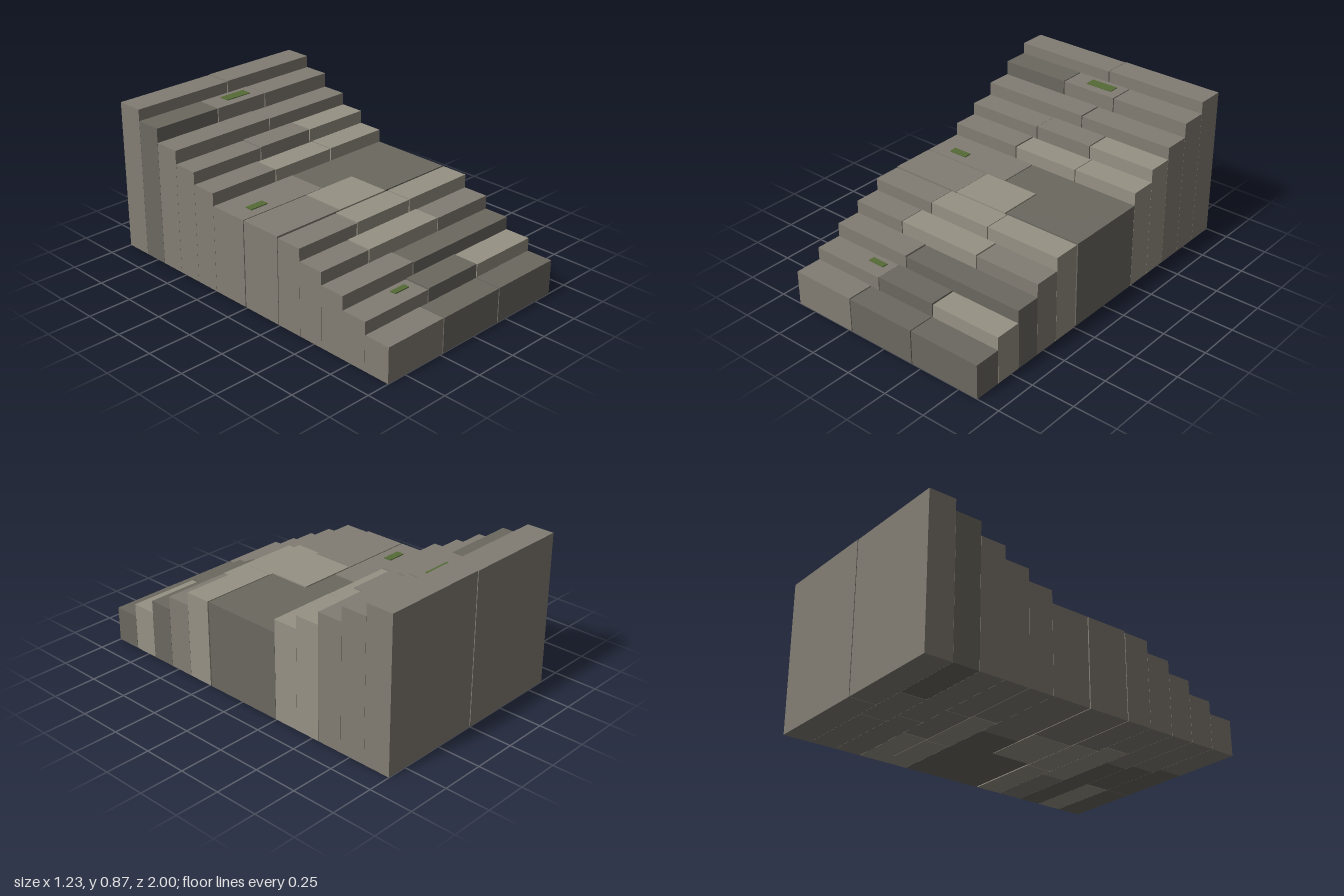
import * as THREE from 'three';

const stone = {
  mid: new THREE.MeshStandardMaterial({ color: 0x827d73 }),
  dark: new THREE.MeshStandardMaterial({ color: 0x6b6860 }),
  light: new THREE.MeshStandardMaterial({ color: 0x969184 }),
};
const mossMaterial = new THREE.MeshStandardMaterial({ color: 0x556b35 });

const HALF_WIDTH = 0.617;
const GAP = 0.006; // open joint between neighbouring blocks

function box(name, material, x0, x1, y0, y1, z0, z1) {
  const mesh = new THREE.Mesh(new THREE.BoxGeometry(x1 - x0, y1 - y0, z1 - z0), material);
  mesh.name = name;
  mesh.position.set((x0 + x1) / 2, (y0 + y1) / 2, (z0 + z1) / 2);
  return mesh;
}

// Steps from front to back: z range, joints in x, then tone and height per block
const lowerSteps = [
  [0.847, 1.0, [-0.23, 0.19], ['mid', 0.2], ['dark', 0.198], ['dark', 0.199]],
  [0.697, 0.846, [-0.174, 0.195], ['mid', 0.272], ['dark', 0.277], ['light', 0.273]],
  [0.551, 0.696, [-0.122], ['mid', 0.35], ['dark', 0.345]],
  [0.4, 0.55, [-0.288, 0.224], ['mid', 0.422], ['light', 0.424], ['mid', 0.421]],
  [0.244, 0.399, [-0.218, 0.168], ['mid', 0.492], ['light', 0.495], ['light', 0.497]],
];
const upperSteps = [
  [-0.394, -0.246, [-0.182, 0.226], ['mid', 0.572], ['light', 0.569], ['light', 0.571]],
  [-0.54, -0.395, [-0.154, 0.209], ['mid', 0.642], ['mid', 0.646], ['light', 0.645]],
  [-0.69, -0.541, [0.043], ['mid', 0.718], ['mid', 0.715]],
  [-0.842, -0.691, [-0.198, 0.144], ['dark', 0.799], ['mid', 0.799], ['mid', 0.798]],
  [-1.0, -0.843, [0], ['mid', 0.864], ['mid', 0.867]],
];

function flight(name, steps) {
  const group = new THREE.Group();
  group.name = name;
  steps.forEach(([z0, z1, joints, ...blocks], row) => {
    const step = new THREE.Group();
    step.name = `${name}Step${row + 1}`;
    blocks.forEach(([tone, height], i) => {
      const x0 = i === 0 ? -HALF_WIDTH : joints[i - 1] + GAP / 2;
      const x1 = i === joints.length ? HALF_WIDTH : joints[i] - GAP / 2;
      step.add(box('stepBlock', stone[tone], x0, x1, 0, height, z0, z1));
    });
    group.add(step);
  });
  return group;
}

export function createModel() {
  const model = new THREE.Group();
  model.name = 'stoneStairs';
  model.add(flight('lowerFlight', lowerSteps), flight('upperFlight', upperSteps));

  // Landing: interlocking slabs reaching down to the ground
  const landing = new THREE.Group();
  landing.name = 'landing';
  landing.add(
    box('landingBackLeft', stone.mid, -HALF_WIDTH, -0.066, 0, 0.5, -0.245, -0.014),
    box('landingBackRight', stone.dark, -0.062, HALF_WIDTH, 0, 0.498, -0.245, -0.012),
    box('landingFrontRight', stone.dark, 0.156, HALF_WIDTH, 0, 0.498, -0.012, 0.235),
    box('landingCentre', stone.light, -0.183, 0.152, 0, 0.502, -0.008, 0.242),
    box('landingFrontLeft', stone.mid, -HALF_WIDTH, -0.187, 0, 0.5, -0.008, 0.24),
  );
  model.add(landing);

  // Thin moss patches lying on the stone
  const moss = new THREE.Group();
  moss.name = 'moss';
  moss.add(
    box('mossUpper', mossMaterial, -0.082, 0.082, 0.795, 0.803, -0.808, -0.746),
    box('mossLanding', mossMaterial, -0.51, -0.4, 0.495, 0.505, -0.115, -0.07),
    box('mossLower', mossMaterial, -0.323, -0.225, 0.268, 0.277, 0.73, 0.765),
  );
  model.add(moss);
  return model;
}
